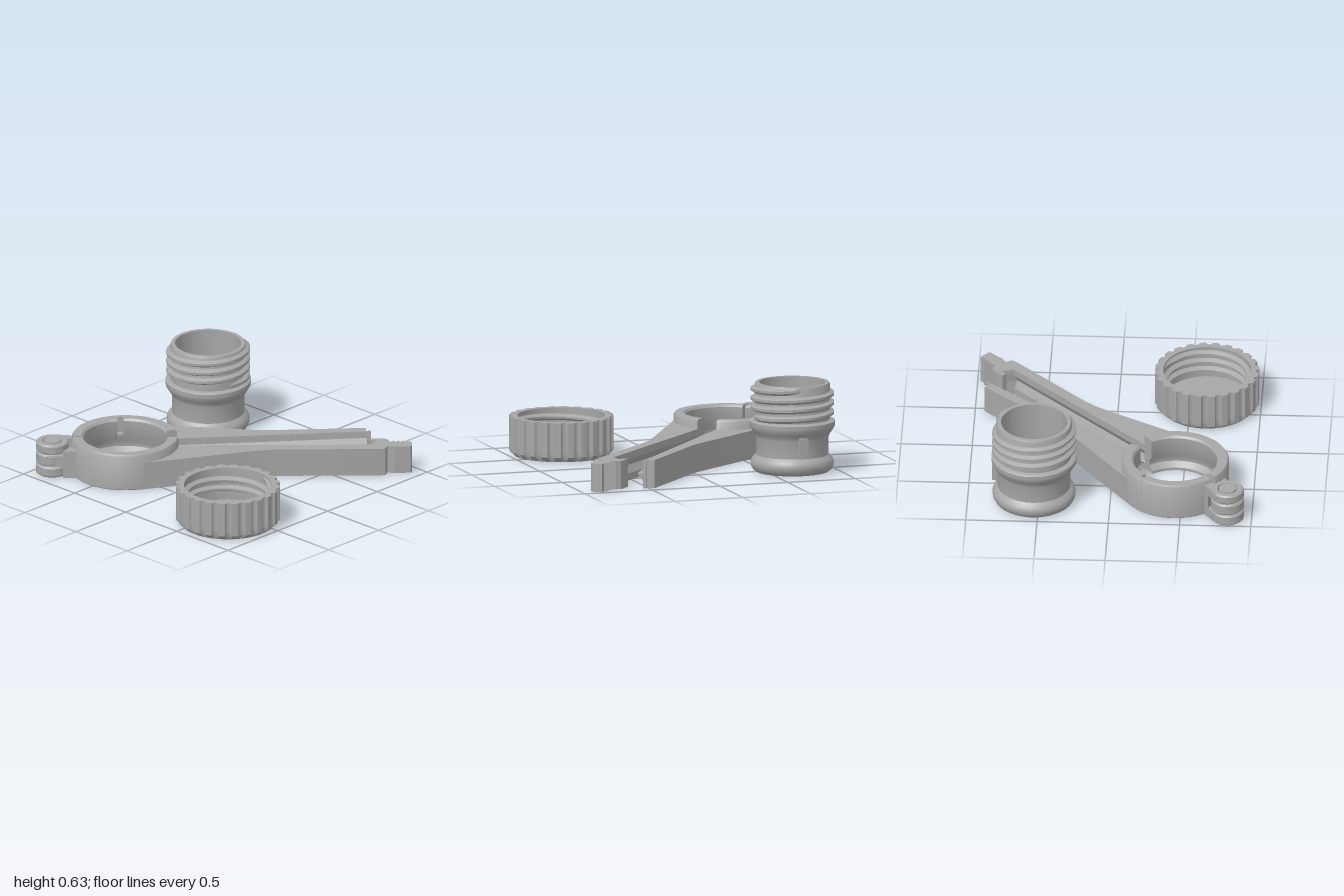
import * as THREE from 'three';
import { toCreasedNormals } from 'three/addons/utils/BufferGeometryUtils.js';

const grey = new THREE.MeshStandardMaterial({ color: 0xa6a6a6 });
grey.name = 'greyPlastic';
const rad = THREE.MathUtils.degToRad;
const vecs = (pts) => pts.map(([x, y]) => new THREE.Vector2(x, y));

function add(parent, name, geometry, x = 0, y = 0, z = 0, crease = 0.6) {
  const mesh = new THREE.Mesh(toCreasedNormals(geometry, crease), grey);
  mesh.name = name;
  mesh.position.set(x, y, z);
  parent.add(mesh);
  return mesh;
}

// moves every vertex by a rule
function reshape(geometry, rule) {
  const p = geometry.attributes.position;
  const v = new THREE.Vector3();
  for (let i = 0; i < p.count; i++) {
    rule(v.fromBufferAttribute(p, i));
    p.setXYZ(i, v.x, v.y, v.z);
  }
  return geometry;
}

// upright prism from an (x, z) outline
function prism(pts, height, steps = 1, hole = null) {
  const shape = new THREE.Shape(vecs(pts.map(([x, z]) => [x, -z])));
  if (hole) shape.holes.push(new THREE.Path(vecs(hole)));
  const g = new THREE.ExtrudeGeometry(shape, { depth: height, steps, bevelEnabled: false });
  return g.rotateX(-Math.PI / 2);
}

// sweeps an (r, y) profile round the y axis, optionally as a tapered helix
function sweep(profile, a0, a1, pitch = 0, base = 0) {
  const steps = Math.max(2, Math.ceil((a1 - a0) / 0.09));
  const g = new THREE.ExtrudeGeometry(new THREE.Shape(vecs(profile)),
    { depth: a1 - a0, steps, bevelEnabled: false });
  return reshape(g, (v) => {
    const t = v.z, a = a0 + t;
    const fade = pitch ? Math.min(1, t / 0.6, (a1 - a0 - t) / 0.6) : 1;
    const r = base + (v.x - base) * fade;
    v.set(r * Math.cos(a), v.y - pitch * t / (2 * Math.PI), r * Math.sin(a));
  });
}

const lathe = (pts, n = 64) => new THREE.LatheGeometry(vecs(pts), n);

function circle(r, n = 64) {
  return Array.from({ length: n }, (_, i) => {
    const a = i / n * Math.PI * 2;
    return [r * Math.cos(a), r * Math.sin(a)];
  });
}

function makeCap() {
  const cap = new THREE.Group();
  cap.name = 'screwCap';
  // scalloped grip wall with a chamfered foot
  const outline = [];
  const notch = [[-0.07, 0.366], [-0.055, 0.354], [-0.03, 0.346], [0, 0.344], [0.03, 0.346],
    [0.055, 0.354], [0.07, 0.366], [0.1, 0.366], [0.131, 0.366], [0.16, 0.366]];
  for (let i = 0; i < 24; i++) {
    for (const [da, r] of notch) {
      const a = i * Math.PI / 12 + da;
      outline.push([r * Math.cos(a), r * Math.sin(a)]);
    }
  }
  const wall = prism(outline, 0.28, 8, circle(0.308));
  reshape(wall, (v) => {
    const r = Math.hypot(v.x, v.z);
    if (v.y < 0.01 && r > 0.33) { v.x *= 0.33 / r; v.z *= 0.33 / r; }
  });
  add(cap, 'gripWall', wall);
  add(cap, 'capFloor', new THREE.CylinderGeometry(0.308, 0.308, 0.04, 64), 0, 0.02);
  add(cap, 'innerThread', sweep([[0.312, -0.025], [0.312, 0.025], [0.278, 0.007], [0.278, -0.007]],
    0, Math.PI * 5.4, 0.066, 0.312), 0, 0.25);
  cap.position.set(-0.62, 0, 0.63);
  return cap;
}

function makeNeck() {
  const neck = new THREE.Group();
  neck.name = 'threadedNeck';
  add(neck, 'neckTube', lathe([[0.232, 0], [0.255, 0], [0.276, 0.015], [0.289, 0.04], [0.292, 0.065],
    [0.284, 0.09], [0.266, 0.108], [0.255, 0.12], [0.255, 0.245], [0.262, 0.265], [0.28, 0.29],
    [0.298, 0.32], [0.3, 0.335], [0.3, 0.358], [0.29, 0.366], [0.266, 0.37], [0.266, 0.615],
    [0.258, 0.63], [0.232, 0.63], [0.232, 0]]));
  add(neck, 'outerThread', sweep([[0.26, -0.03], [0.294, -0.01], [0.294, 0.008], [0.26, 0.026]],
    0, Math.PI * 6.6, 0.066, 0.26), 0, 0.605);
  add(neck, 'locatingTab', new THREE.BoxGeometry(0.06, 0.115, 0.06), 0.265, 0.212, 0.01);
  neck.position.set(0.535, 0, -0.69);
  return neck;
}

function makeClamp() {
  const clamp = new THREE.Group();
  clamp.name = 'clamp';
  const cx = -0.45, cz = -0.54;

  // two ring halves, split at the hinge and at the handles
  const outer = [[0.275, 0], [0.37, 0], [0.376, 0.006], [0.376, 0.25], [0.366, 0.265]];
  const inner = [[0.292, 0.12], [0.312, 0.09], [0.312, 0.055], [0.275, 0.02]];
  const plain = [...outer, [0.305, 0.265], [0.292, 0.25], ...inner];
  const notched = [...outer, [0.335, 0.265], [0.335, 0.15], [0.292, 0.15], ...inner];
  for (const [name, profile, a0, a1] of [
    ['lowerRingHalf', plain, 52, 220], ['upperRingBack', plain, 224, 305],
    ['upperRingNotch', notched, 305, 313], ['upperRingFront', plain, 313, 390]]) {
    add(clamp, name, sweep(profile, rad(a0), rad(a1)), cx, 0, cz);
  }

  const arc = (a0, a1) => Array.from({ length: 9 }, (_, i) => {
    const a = rad(a0 + (a1 - a0) * i / 8);
    return [cx + 0.34 * Math.cos(a), cz + 0.34 * Math.sin(a)];
  });
  // handle arm whose inner edge is pushed sideways at mid height, making a V
  const arm = (name, pts, edge, dx, dz) => {
    const g = reshape(prism(pts, 0.2, 4), (v) => {
      const onEdge = edge.some(([x, z]) => Math.hypot(v.x - x, v.z - z) < 1e-3);
      if (onEdge && Math.abs(v.y - 0.1) < 0.01) { v.x += dx; v.z += dz; }
    });
    add(clamp, name, g, 0, 0, 0, 0.4);
  };

  // arm with the sealing ridge
  const ridge = [[0.895, 0.515], [-0.19, -0.395]];
  arm('ridgeArm', [...arc(25, -42), [-0.172, -0.79], [0.35, -0.085], [0.39, -0.035], [0.44, 0.018],
    [0.5, 0.072], [0.935, 0.465], [0.895, 0.505], [0.925, 0.52], [0.91, 0.54], ...ridge],
  ridge, -0.045, 0.045);

  // arm with the matching groove and the toothed clasp
  const groove = [[0.735, 0.7], [-0.21, -0.25]];
  const teeth = [];
  for (let i = 0; i < 4; i++) {
    const x = 0.965 - i * 0.024, z = 0.835 - i * 0.024;
    teeth.push([x - 0.022, z + 0.004], [x - 0.012, z - 0.022]);
  }
  arm('grooveArm', [...arc(55, 120), [-0.636, -0.215], [0.0, 0.15], [0.08, 0.198], [0.16, 0.25],
    [0.23, 0.31], [0.735, 0.815], [0.76, 0.828], [0.8, 0.805], [0.83, 0.855], [0.855, 0.87],
    [0.91, 0.925], [0.93, 0.922], [0.98, 0.868], ...teeth, [0.872, 0.755], [0.888, 0.735],
    [0.888, 0.695], [0.87, 0.672], [0.815, 0.62], [0.79, 0.648], [0.815, 0.675], [0.8, 0.688],
    ...groove], groove, -0.022, 0.022);

  // hinge: stacked knuckles with tongues to alternate halves, and a pin
  const hx = -0.83, hz = -0.885;
  const upperTongue = [[-0.75, -0.965], [-0.64, -0.81], [-0.69, -0.785], [-0.765, -0.85]];
  const lowerTongue = [[-0.935, -0.835], [-0.795, -0.68], [-0.735, -0.735], [-0.81, -0.805]];
  [[0, 0.075, upperTongue], [0.083, 0.082, lowerTongue], [0.173, 0.067, upperTongue]]
    .forEach(([y, h, tongue], i) => {
      const c = 0.01;
      add(clamp, 'knuckle' + (i + 1), lathe([[0.07, 0], [0.105, 0], [0.115, c], [0.115, h - c],
        [0.105, h], [0.07, h], [0.07, 0]], 40), hx, y, hz);
      add(clamp, 'tongue' + (i + 1), prism(tongue, h - 0.004), 0, y + 0.002);
    });
  // roots filling the height beside the ring
  add(clamp, 'lowerHingeRoot', prism([[-0.86, -0.752], [-0.795, -0.68], [-0.735, -0.735],
    [-0.775, -0.775]], 0.2));
  add(clamp, 'upperHingeRoot', prism([[-0.695, -0.888], [-0.64, -0.81], [-0.69, -0.775],
    [-0.725, -0.812]], 0.2));
  add(clamp, 'hingePin', new THREE.CylinderGeometry(0.06, 0.06, 0.24, 40), hx, 0.122, hz);
  return clamp;
}

export function createModel() {
  const model = new THREE.Group();
  model.name = 'bagClampSet';
  model.add(makeCap(), makeNeck(), makeClamp());
  return model;
}
